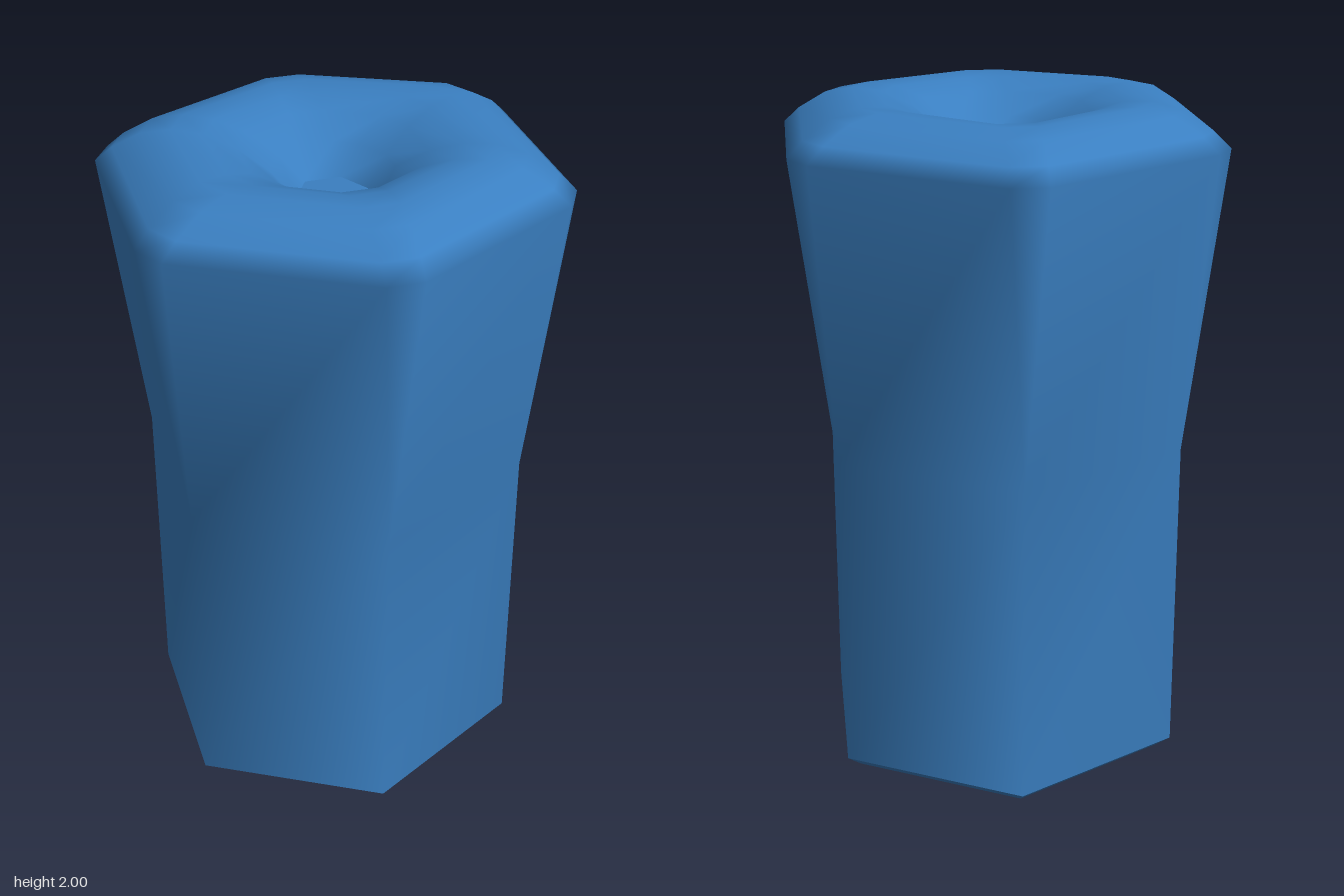
import * as THREE from 'three';
import { mergeVertices } from 'three/addons/utils/BufferGeometryUtils.js';

// Six-sided ring with trimmed corners: apothem a, corner trim s, height y, depth scale k
function ring([a, s, y, k]) {
  const points = [];
  const half = Math.max(0, a / Math.sqrt(3) - s);
  for (let side = 0; side < 6; side++) {
    const t = side * Math.PI / 3, c = Math.cos(t), n = Math.sin(t);
    for (const h of [-half, half]) {
      const x = a * c - h * n, z = (a * n + h * c) * k;
      // the rear corner of the rim sits a touch lower
      const dip = y > 1.85 && a > 0.3 && Math.abs(x) < 0.08 && z < 0 ? 0.013 : 0;
      points.push(x, y - dip, z);
    }
  }
  return points;
}

// Skin the rings from bottom to top with smooth normals
function loft(profile) {
  const n = 12, index = [];
  for (let r = 0; r < profile.length - 1; r++) {
    for (let i = 0; i < n; i++) {
      const a = r * n + i, b = r * n + (i + 1) % n;
      index.push(a, a + n, b, b, a + n, b + n);
    }
  }
  const geometry = new THREE.BufferGeometry();
  geometry.setAttribute('position', new THREE.Float32BufferAttribute(profile.flatMap(ring), 3));
  geometry.setIndex(index);
  const merged = mergeVertices(geometry, 1e-4);
  merged.computeVertexNormals();
  return merged;
}

export function createModel() {
  const group = new THREE.Group();
  const blue = new THREE.MeshStandardMaterial({ color: 0x3a7fc1, side: THREE.DoubleSide });
  blue.name = 'blue';

  const add = (name, geometry) => {
    const mesh = new THREE.Mesh(geometry, blue);
    mesh.name = name;
    group.add(mesh);
    return mesh;
  };

  // Hollow body: straight lower half, flared upper half, rounded rim and funnel
  add('body', loft([
    [0.5, 0, 0.035, 0.96],
    [0.5, 0, 1.0, 0.96],
    [0.61, 0.06, 1.885, 0.957],
    [0.565, 0.06, 1.93, 0.96],
    [0.49, 0.06, 1.98, 0.965],
    [0.41, 0.06, 2.0, 0.97],
    [0.33, 0.06, 1.993, 0.98],
    [0.25, 0.06, 1.962, 1],
    [0.17, 0.06, 1.905, 1],
    [0.105, 0.0606, 1.83, 1],
  ]));

  // Inward bevel around the open base
  add('baseBevel', loft([
    [0.46, 0, 0, 0.96],
    [0.5, 0, 0.035, 0.96],
  ]));

  // Small flat floor of the funnel
  const floor = add('funnelFloor', new THREE.CircleGeometry(0.105, 6));
  floor.rotation.x = -Math.PI / 2;
  floor.position.y = 1.83;

  return group;
}
